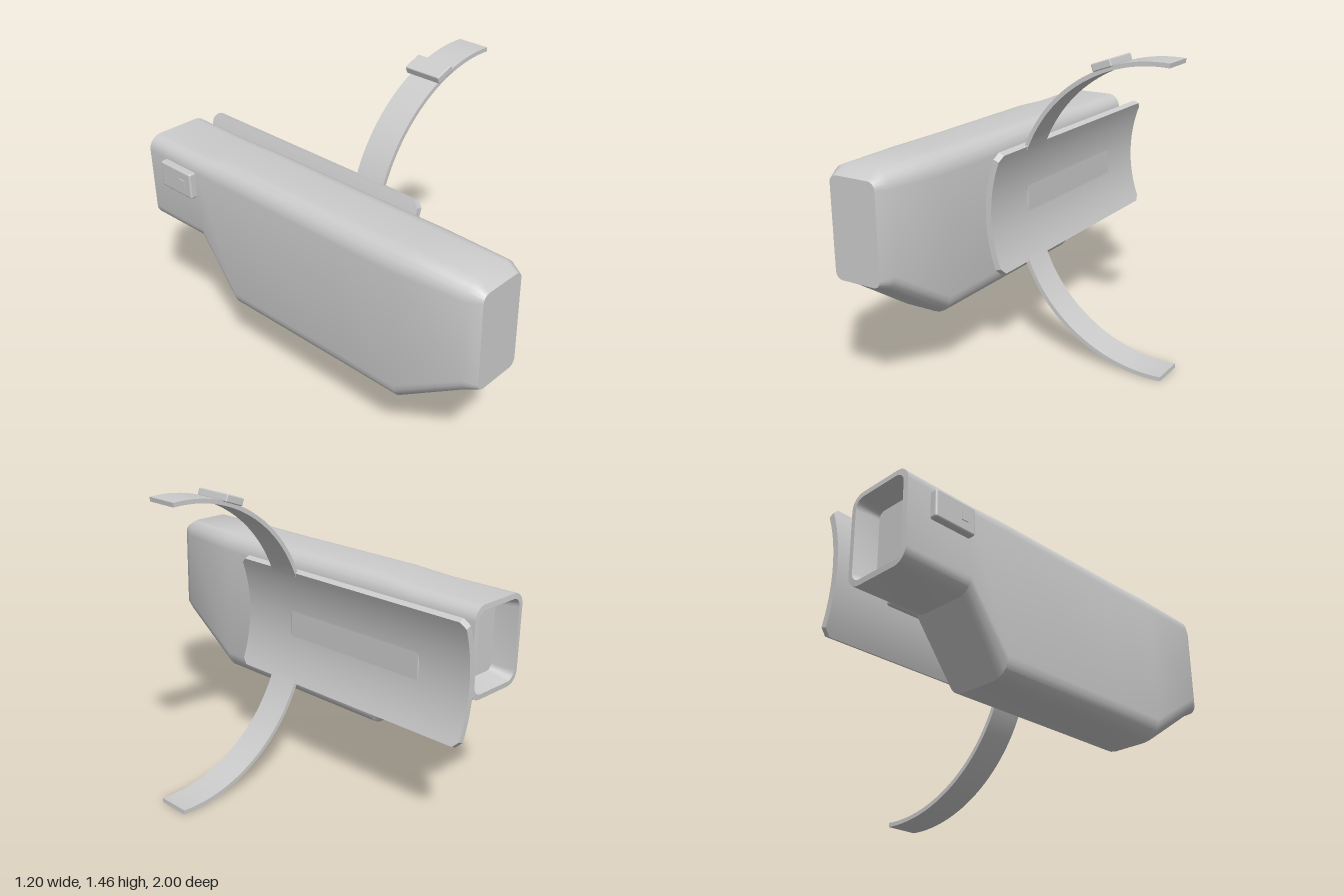
import * as THREE from 'three';
import { toCreasedNormals } from 'three/addons/utils/BufferGeometryUtils.js';
import { RoundedBoxGeometry } from 'three/addons/geometries/RoundedBoxGeometry.js';

const material = new THREE.MeshStandardMaterial({ color: 0xcccccc });
const CX = 0.55, CY = 0.73; // axis of the strap and plate arc
const BODY_X = -0.393;

function add(group, name, geometry, x = 0, y = 0, z = 0) {
  const mesh = new THREE.Mesh(geometry, material);
  mesh.name = name;
  mesh.position.set(x, y, z);
  group.add(mesh);
  return mesh;
}

// Rounded rectangle cross-section, counter-clockwise seen from +z
function section([z, hw, y0, y1, r]) {
  const steps = 5, pts = [];
  const corners = [[hw - r, y1 - r], [r - hw, y1 - r], [r - hw, y0 + r], [hw - r, y0 + r]];
  corners.forEach(([cx, cy], k) => {
    for (let i = 0; i <= steps; i++) {
      const a = (k + i / steps) * Math.PI / 2;
      pts.push([cx + r * Math.cos(a), cy + r * Math.sin(a), z]);
    }
  });
  return pts;
}

// Skin the sections from front to back and close both ends
function loft(specs) {
  const rings = specs.map(section), n = rings[0].length;
  const pos = rings.flat(2), idx = [];
  const centre = ([z, , y0, y1]) => pos.push(0, (y0 + y1) / 2, z) / 3 - 1;
  const front = centre(specs[0]), back = centre(specs[specs.length - 1]);
  const last = (rings.length - 1) * n;
  for (let j = 0; j < n; j++) {
    const k = (j + 1) % n;
    for (let i = 0; i < last; i += n) {
      idx.push(i + j, i + n + j, i + k, i + k, i + n + j, i + n + k);
    }
    idx.push(front, j, k, back, last + k, last + j);
  }
  const g = new THREE.BufferGeometry();
  g.setAttribute('position', new THREE.Float32BufferAttribute(pos, 3));
  g.setIndex(idx);
  return toCreasedNormals(g, 0.58);
}

// Box bent around the arc axis; angles measured from -x, chamfer trims the z corners
function arcBand(radius, thickness, a0, a1, z0, z1, segments, chamfer = 0) {
  const g = new THREE.BoxGeometry(thickness, 1, 1, 1, segments, 1);
  const p = g.attributes.position;
  for (let i = 0; i < p.count; i++) {
    const t = p.getY(i) + 0.5, a = a0 + (a1 - a0) * t, r = radius - p.getX(i);
    const trim = t < 0.001 || t > 0.999 ? chamfer : 0;
    const z = p.getZ(i) > 0 ? z1 - trim : z0 + trim;
    p.setXYZ(i, CX - r * Math.cos(a), CY + r * Math.sin(a), z);
  }
  return toCreasedNormals(g, 0.5);
}

export function createModel() {
  const model = new THREE.Group();
  model.name = 'armMountedDevice';

  // Main housing: tapered nose, deep belly, narrow neck with a recessed rear opening
  add(model, 'housing', loft([
    [1.0, 0.12, 0.57, 1.03, 0.035],
    [0.94, 0.153, 0.54, 1.065, 0.075],
    [0.6, 0.172, 0.316, 1.065, 0.09],
    [0.3, 0.172, 0.316, 1.062, 0.09],
    [-0.41, 0.172, 0.316, 1.06, 0.085],
    [-0.62, 0.172, 0.61, 1.045, 0.07],
    [-0.965, 0.172, 0.61, 1.045, 0.065],
    [-0.967, 0.147, 0.635, 1.02, 0.045],
    [-0.86, 0.125, 0.657, 0.998, 0.03],
  ]), BODY_X);

  // Side switch with a small raised key
  const control = new THREE.Group();
  control.name = 'sideSwitch';
  model.add(control);
  add(control, 'switchBase', new RoundedBoxGeometry(0.05, 0.13, 0.215, 2, 0.01), -0.573, 0.91, -0.738);
  add(control, 'switchKey', new THREE.BoxGeometry(0.01, 0.04, 0.035), -0.597, 0.91, -0.69);

  // Curved plate and the spacer joining it to the housing
  add(model, 'curvedPlate', arcBand(0.726, 0.03, -0.405, 0.405, -1, 0.36, 20, 0.028));
  add(model, 'spacer', new RoundedBoxGeometry(0.052, 0.17, 0.8, 2, 0.012), -0.184, 0.732, -0.335);

  // Open strap, mirrored above and below the plate
  for (const s of [1, -1]) {
    const [a, b] = s > 0 ? [0.38, 1.64] : [-1.64, -0.38];
    add(model, s > 0 ? 'upperStrap' : 'lowerStrap', arcBand(0.718, 0.02, a, b, -0.02, 0.14, 28));
  }

  // Buckle lying along the upper strap
  const tilt = 0.37;
  const buckle = add(model, 'buckle', new RoundedBoxGeometry(0.1, 0.036, 0.195, 2, 0.006),
    CX - 0.742 * Math.sin(tilt), CY + 0.742 * Math.cos(tilt), 0.055);
  buckle.rotation.z = tilt - 0.03;

  return model;
}
